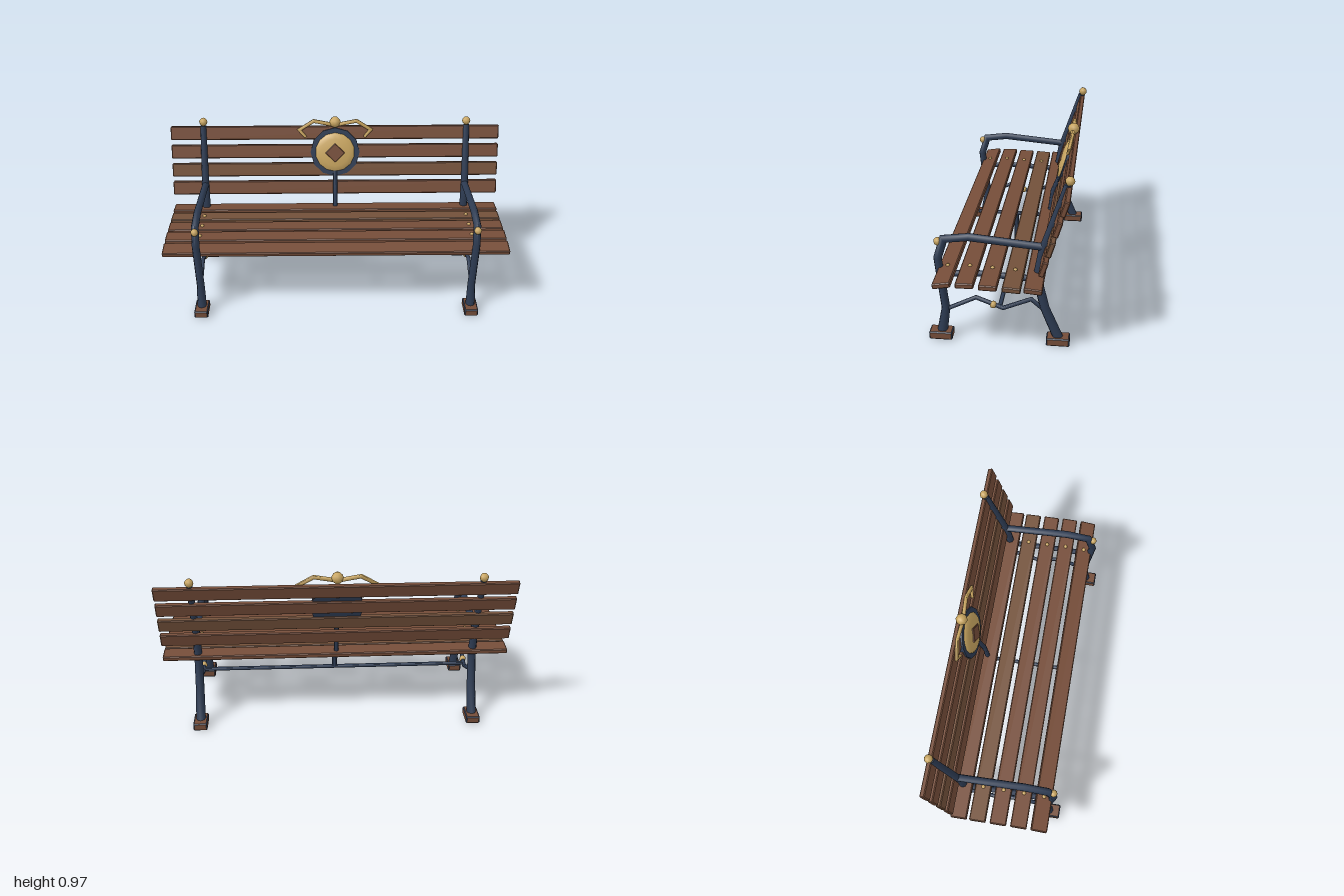
import * as THREE from 'three';
import { ConvexGeometry } from 'three/addons/geometries/ConvexGeometry.js';
import { toCreasedNormals } from 'three/addons/utils/BufferGeometryUtils.js';

const mat = (name, color) => {
  const m = new THREE.MeshStandardMaterial({ color });
  m.name = name;
  return m;
};

export function createModel() {
  const bench = new THREE.Group();
  bench.name = 'gardenBench';
  const wood = mat('wood', 0x754d39);
  const paleWood = mat('paleWood', 0x73513a);
  const iron = mat('iron', 0x2d3b52);
  const brass = mat('brass', 0xc8a560);
  const TILT = -0.3; // lean of the backrest

  const add = (name, geometry, material, x = 0, y = 0, z = 0, parent = bench) => {
    const mesh = new THREE.Mesh(geometry, material);
    mesh.name = name;
    mesh.position.set(x, y, z);
    parent.add(mesh);
    return mesh;
  };

  // Chamfered block: group 0 holds the six faces, group 1 the chamfers
  function block(w, h, d, c) {
    const points = [];
    for (const sx of [-1, 1]) for (const sy of [-1, 1]) for (const sz of [-1, 1]) {
      for (let axis = 0; axis < 3; axis++) {
        const p = [w / 2 - c, h / 2 - c, d / 2 - c];
        p[axis] += c;
        points.push(new THREE.Vector3(p[0] * sx, p[1] * sy, p[2] * sz));
      }
    }
    const hull = new ConvexGeometry(points);
    const pos = hull.attributes.position.array, nor = hull.attributes.normal.array;
    const faces = [], chamfers = [];
    for (let i = 0; i < pos.length; i += 9) {
      const main = Math.max(Math.abs(nor[i]), Math.abs(nor[i + 1]), Math.abs(nor[i + 2])) > 0.99;
      (main ? faces : chamfers).push(...pos.slice(i, i + 9));
    }
    const g = new THREE.BufferGeometry();
    g.setAttribute('position', new THREE.Float32BufferAttribute([...faces, ...chamfers], 3));
    g.computeVertexNormals();
    g.addGroup(0, faces.length / 3, 0);
    g.addGroup(faces.length / 3, chamfers.length / 3, 1);
    return g;
  }

  // Mitred round bar along a bent path; each path point is [x, y, z, radius]
  function bar(path, side = new THREE.Vector3(1, 0, 0), sides = 8) {
    const pts = path.map((p) => new THREE.Vector3(p[0], p[1], p[2]));
    const pos = [], idx = [], last = pts.length - 1;
    pts.forEach((p, i) => {
      const a = pts[Math.min(i + 1, last)].clone().sub(pts[Math.min(i, last - 1)]).normalize();
      const b = pts[Math.max(i, 1)].clone().sub(pts[Math.max(i - 1, 0)]).normalize();
      const t = a.clone().add(b).normalize();
      const up = new THREE.Vector3().crossVectors(t, side).normalize();
      const mitre = 1 / Math.max(t.dot(a), 0.6);
      for (let k = 0; k < sides; k++) {
        const ang = (k / sides) * Math.PI * 2;
        const v = p.clone().addScaledVector(side, Math.cos(ang) * path[i][3])
          .addScaledVector(up, Math.sin(ang) * path[i][3] * mitre);
        pos.push(v.x, v.y, v.z);
      }
    });
    for (let i = 0; i < last; i++) for (let k = 0; k < sides; k++) {
      const a = i * sides + k, b = i * sides + (k + 1) % sides;
      idx.push(a, a + sides, b, b, a + sides, b + sides);
    }
    const end = last * sides;
    for (let k = 1; k < sides - 1; k++) idx.push(0, k, k + 1, end, end + k + 1, end + k);
    // Flip the winding if the surface came out inside out
    const P = (n) => new THREE.Vector3().fromArray(pos, n * 3);
    const n = P(idx[1]).sub(P(idx[0])).cross(P(idx[2]).sub(P(idx[0])));
    if (n.dot(P(0).sub(pts[0])) < 0) {
      for (let i = 0; i < idx.length; i += 3) [idx[i], idx[i + 1]] = [idx[i + 1], idx[i]];
    }
    const g = new THREE.BufferGeometry();
    g.setAttribute('position', new THREE.Float32BufferAttribute(pos, 3));
    g.setIndex(idx);
    return toCreasedNormals(g, 1.1);
  }
  // Bar in a plane of constant x, from [z, y, radius] points
  const profileBar = (points) => bar(points.map(([z, y, r]) => [0, y, z, r]));
  const knob = (r) => new THREE.SphereGeometry(r, 8, 6);

  // Seat slats: z, y, tilt
  const seat = [[0.272, 0.417, 0.16], [0.155, 0.422, 0.02], [0.037, 0.416, -0.02],
    [-0.082, 0.411, -0.06], [-0.191, 0.41, -0.09]];
  const seatSlat = block(2, 0.029, 0.094, 0.005);
  seat.forEach(([z, y, tilt], i) => {
    const timber = i === 3 ? paleWood : wood;
    add('seatSlat', seatSlat, [timber, timber], 0, y, z).rotation.x = tilt;
  });

  // Backrest slats: z, y
  const backSlat = block(2, 0.083, 0.029, 0.005);
  [[-0.34, 0.862], [-0.307, 0.753], [-0.274, 0.644], [-0.241, 0.536]].forEach(([z, y], i) => {
    const timber = i === 2 ? paleWood : wood;
    add('backSlat', backSlat, [timber, timber], 0, y, z).rotation.x = TILT;
  });

  // Iron end frames with feet and brass fittings
  const frontLeg = profileBar([[0.313, 0.03, 0.028], [0.29, 0.177, 0.023], [0.325, 0.473, 0.022],
    [0.291, 0.583, 0.022], [0.16, 0.6, 0.022], [-0.22, 0.565, 0.021]]);
  const backLeg = profileBar([[-0.312, 0.03, 0.028], [-0.237, 0.21, 0.025], [-0.196, 0.383, 0.024],
    [-0.222, 0.545, 0.022], [-0.342, 0.91, 0.018]]);
  const seatRail = profileBar([[0.305, 0.383, 0.017], [0.12, 0.394, 0.017], [-0.2, 0.378, 0.017]]);
  const brace = profileBar([[0.28, 0.174, 0.012], [0.127, 0.25, 0.012], [-0.017, 0.195, 0.012],
    [-0.165, 0.257, 0.012], [-0.225, 0.205, 0.012]]);
  const foot = block(0.08, 0.045, 0.125, 0.006);
  for (const x of [-0.8, 0.8]) {
    const frame = new THREE.Group();
    frame.name = x > 0 ? 'leftFrame' : 'rightFrame';
    frame.position.x = x;
    bench.add(frame);
    add('frontLegAndArm', frontLeg, iron, 0, 0, 0, frame);
    add('backLegAndPost', backLeg, iron, 0, 0, 0, frame);
    add('seatRail', seatRail, iron, 0, 0, 0, frame);
    add('brace', brace, iron, 0, 0, 0, frame);
    for (const z of [0.317, -0.31]) add('foot', foot, [wood, iron], 0, 0.0225, z, frame);
    add('armKnob', knob(0.022), brass, 0, 0.568, 0.322, frame);
    add('postFinial', knob(0.025), brass, 0, 0.931, -0.353, frame);
    add('braceKnob', knob(0.02), brass, 0, 0.212, 0.036, frame);
    for (const [z, y] of seat.slice(0, 4)) add('slatBolt', knob(0.012), brass, 0, y + 0.013, z, frame);
  }

  // Stretcher between the frames and its central support
  add('stretcher', bar([[-0.8, 0.203, 0, 0.012], [0.8, 0.203, 0, 0.012]], new THREE.Vector3(0, 0, 1)), iron);
  add('centreStrut', profileBar([[0, 0.2, 0.014], [0, 0.395, 0.014]]), iron);
  add('centreRail', profileBar([[0.23, 0.392, 0.012], [-0.21, 0.385, 0.012]]), iron);
  add('medallionStem', profileBar([[-0.198, 0.38, 0.014], [-0.218, 0.545, 0.014], [-0.285, 0.72, 0.012]]), iron);

  // Medallion: iron rim, brass dome and wooden diamond
  const medallion = new THREE.Group();
  medallion.name = 'medallion';
  medallion.position.set(0, 0.752, -0.296);
  medallion.rotation.x = TILT + 0.02;
  bench.add(medallion);
  const rim = new THREE.CylinderGeometry(0.15, 0.15, 0.026, 12);
  add('rim', rim, iron, 0, 0, 0, medallion).rotation.x = Math.PI / 2;
  const profile = [[0.121, 0], [0.113, 0.011], [0.085, 0.018], [0.045, 0.024], [0, 0.026]]
    .map(([x, y]) => new THREE.Vector2(x, y));
  const dome = new THREE.LatheGeometry(profile, 14);
  add('dome', dome, brass, 0, 0, 0.012, medallion).rotation.x = Math.PI / 2;
  add('diamond', block(0.084, 0.084, 0.016, 0.003), [wood, wood], 0, 0, 0.036, medallion)
    .rotation.z = Math.PI / 4;

  // Brass crest: ball and two bent wings
  add('crestBall', knob(0.034), brass, 0, 0.936, -0.331);
  const crestNormal = new THREE.Vector3(0, 0.22, 0.975).normalize();
  for (const s of [-1, 1]) {
    const path = [[0, 0.918, 0.012], [0.13, 0.943, 0.012], [0.217, 0.89, 0.011], [0.178, 0.845, 0.009]]
      .map(([x, y, r]) => [s * x, y, -0.29 - (y - 0.76) * 0.225, r]);
    add(s > 0 ? 'leftWing' : 'rightWing', bar(path, crestNormal, 6), brass);
  }
  return bench;
}
